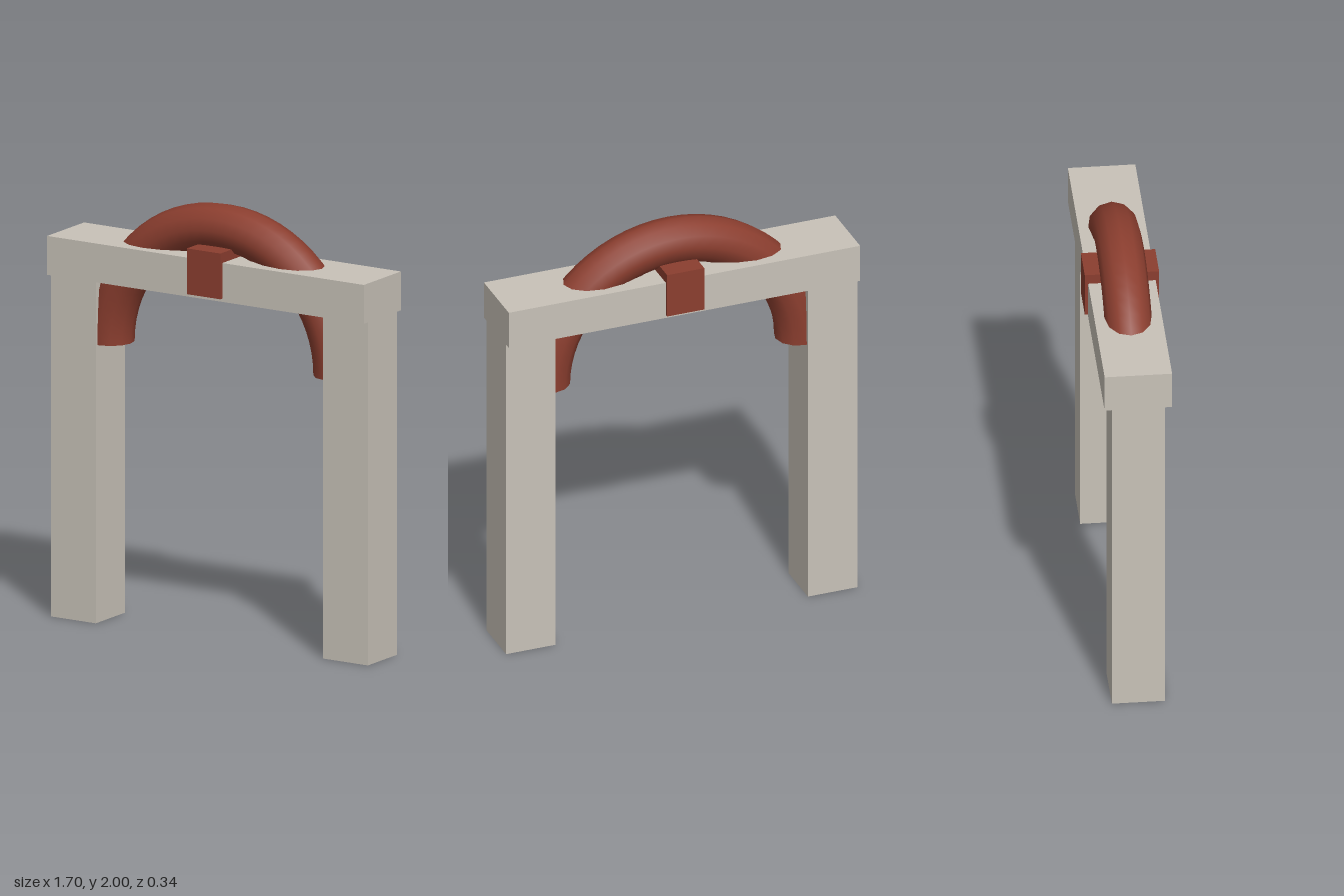
import * as THREE from 'three';

export function createModel() {
  const group = new THREE.Group();
  const stone = new THREE.MeshStandardMaterial({ color: 0xc8c2b8 });
  const red = new THREE.MeshStandardMaterial({ color: 0x8b3e2f });
  const redOpen = new THREE.MeshStandardMaterial({ color: 0x8b3e2f, side: THREE.DoubleSide });

  function add(name, geometry, material, x, y, z = 0) {
    const mesh = new THREE.Mesh(geometry, material);
    mesh.name = name;
    mesh.position.set(x, y, z);
    group.add(mesh);
  }

  // Square posts on either side
  for (const [name, side] of [['leftPost', 1], ['rightPost', -1]]) {
    add(name, new THREE.BoxGeometry(0.24, 1.59, 0.24), stone, side * 0.73, 0.795);
  }

  // Crossbeam resting on the posts
  add('lintel', new THREE.BoxGeometry(1.7, 0.18, 0.305), stone, 0, 1.679);

  // Half-ring arch passing through the beam, open at its ends
  add('arch', new THREE.TorusGeometry(0.607, 0.107, 12, 32, Math.PI), redOpen, 0, 1.286);

  // Central block clasping the beam
  add('keystone', new THREE.BoxGeometry(0.18, 0.212, 0.336), red, 0, 1.71);

  return group;
}
